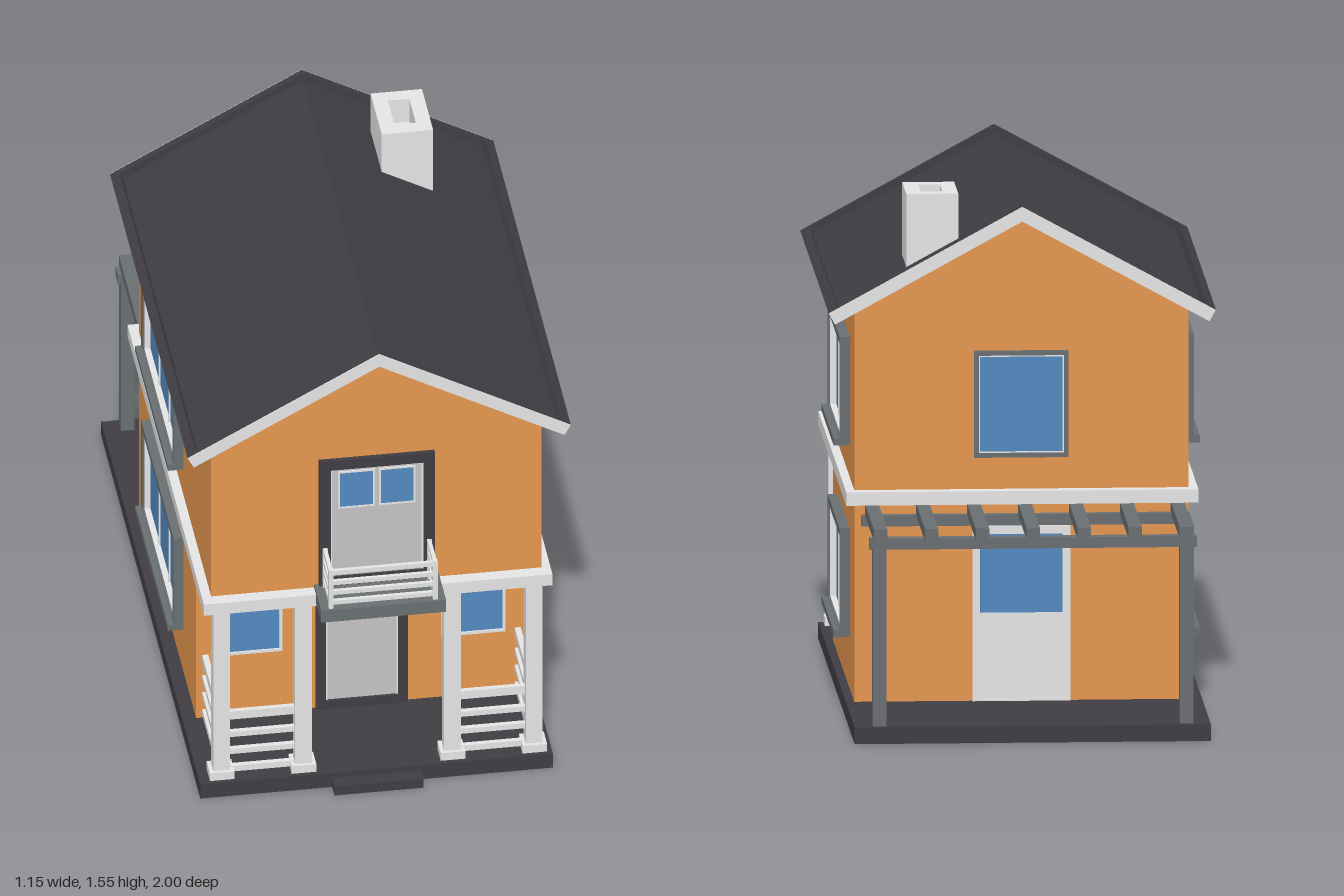
import * as THREE from 'three';

const mat = (name, color) => Object.assign(new THREE.MeshStandardMaterial({ color }), { name });

export function createModel() {
  const wall = mat('orange wall', 0xe4964f), trim = mat('light trim', 0xe4e4e4);
  const doorGrey = mat('door grey', 0xc5c2c3), dark = mat('charcoal', 0x3f3d43);
  const steel = mat('slate grey', 0x696e71), glass = mat('blue glass', 0x5289c0);

  const house = new THREE.Group();
  house.name = 'house';

  const add = (parent, name, geo, material) => {
    const m = new THREE.Mesh(geo, material);
    m.name = name;
    parent.add(m);
    return m;
  };
  // Box given by its limits on each axis
  const box = (parent, name, material, x0, x1, y0, y1, z0, z1) => {
    const m = add(parent, name, new THREE.BoxGeometry(x1 - x0, y1 - y0, z1 - z0), material);
    m.position.set((x0 + x1) / 2, (y0 + y1) / 2, (z0 + z1) / 2);
  };
  const extrude = (pts, z0, z1) => {
    const g = new THREE.ExtrudeGeometry(new THREE.Shape(pts.map(p => new THREE.Vector2(...p))),
      { depth: z1 - z0, bevelEnabled: false });
    return g.translate(0, 0, z0);
  };
  // Rectangular frame in the xy plane, with border b
  const frame = (parent, name, material, x0, x1, y0, y1, b, z0, z1) => {
    const rect = (P, d) => new P([[x0 + d, y0 + d], [x1 - d, y0 + d], [x1 - d, y1 - d], [x0 + d, y1 - d]]
      .map(p => new THREE.Vector2(...p)));
    const s = rect(THREE.Shape, 0);
    s.holes.push(rect(THREE.Path, b));
    const g = new THREE.ExtrudeGeometry(s, { depth: z1 - z0, bevelEnabled: false });
    return add(parent, name, g.translate(0, 0, z0), material);
  };
  const group = (name, x = 0, y = 0, z = 0, ry = 0) => {
    const g = new THREE.Group();
    g.name = name;
    g.position.set(x, y, z);
    g.rotation.y = ry;
    house.add(g);
    return g;
  };

  // Base, step and walls
  const W = 0.495, S = 0.548, PEAK = 1.54;
  box(house, 'base', dark, -0.536, 0.52, 0, 0.05, -1, 0.915);
  box(house, 'frontStep', dark, -0.141, 0.125, 0, 0.032, 0.915, 0.96);
  box(house, 'lowerWalls', wall, -W, W, 0.05, 0.647, -0.535, 0.57);
  box(house, 'floorBand', trim, -0.523, 0.521, 0.645, 0.685, -0.577, 0.9);
  const top = PEAK - 0.045;
  add(house, 'upperWalls', extrude([[-W, 0.685], [W, 0.685], [W, top - S * W], [0, top], [-W, top - S * W]],
    -0.535, 0.86), wall);

  // Roof: layers measured along the slope (x) and into it (d), mirrored left and right
  const k = 1 + S * S, HALF = 0.574, Z0 = -0.59, Z1 = 0.914;
  const at = (x, d) => [x - S * d / k, PEAK - S * x - d / k];
  const layer = (name, material, xi, xo, d0, d1, z0, z1) => {
    const inner = d => xi ? at(xi, d) : [0, PEAK - d];
    const pts = [inner(d0), at(xo, d0), at(xo, d1), inner(d1)];
    for (const s of [-1, 1]) add(house, name, extrude(pts.map(([x, y]) => [s * x, y]), z0, z1), material);
  };
  layer('roofSlab', trim, 0, HALF, 0.029, 0.045, Z0, Z1);
  layer('roofCover', dark, 0, HALF - 0.02, 0.024, 0.029, Z0 + 0.02, Z1 - 0.02);
  layer('gableRim', dark, 0, HALF - 0.003, 0, 0.029, Z1 - 0.026, Z1 - 0.003);
  layer('gableRim', dark, 0, HALF - 0.003, 0, 0.029, Z0 + 0.003, Z0 + 0.026);
  layer('eaveRim', dark, HALF - 0.026, HALF - 0.003, 0, 0.029, Z0 + 0.026, Z1 - 0.026);
  layer('gableFascia', trim, 0, HALF, 0.001, 0.029, Z1 - 0.003, Z1);
  layer('gableFascia', trim, 0, HALF, 0.001, 0.029, Z0, Z0 + 0.003);
  layer('eaveEdge', dark, HALF - 0.003, HALF, 0, 0.008, Z0 + 0.003, Z1 - 0.003);
  layer('eaveFascia', trim, HALF - 0.003, HALF, 0.008, 0.029, Z0 + 0.003, Z1 - 0.003);

  // Chimney with an open flue
  const chimney = group('chimney', 0.257, 0, -0.308);
  const flue = frame(chimney, 'chimneyStack', trim, -0.077, 0.077, -0.108, 0.108, 0.045, 0, 0.25);
  flue.rotation.x = -Math.PI / 2;
  flue.position.y = 1.302;
  box(chimney, 'flueFloor', trim, -0.04, 0.04, 1.44, 1.47, -0.07, 0.07);

  // Wide side windows on both storeys
  for (const s of [-1, 1]) for (const y of [0.205, 0.78]) {
    const w = group('sideWindow', s * W, y, 0.015, s * Math.PI / 2);
    frame(w, 'windowFrame', steel, -0.315, 0.315, 0, 0.326, 0.022, 0, 0.03);
    frame(w, 'innerFrame', trim, -0.294, 0.294, 0.021, 0.305, 0.004, 0, 0.024);
    box(w, 'windowGlass', glass, -0.29, 0.29, 0.025, 0.301, 0, 0.006);
    box(w, 'windowSill', steel, -0.315, 0.315, 0, 0.02, 0.03, 0.048);
    for (const x of [-0.098, 0.098]) box(w, 'windowBar', trim, x - 0.003, x + 0.003, 0.025, 0.301, 0.004, 0.011);
  }

  // Small porch windows
  for (const s of [-1, 1]) {
    const w = group('porchWindow', s * 0.334, 0.271, 0.57);
    frame(w, 'windowFrame', trim, -0.096, 0.096, 0, 0.305, 0.009, 0, 0.01);
    box(w, 'windowGlass', glass, -0.088, 0.088, 0.008, 0.297, 0, 0.005);
  }

  // Doors: a leaf inside an outer and an inner frame
  const door = (g, w, h, b) => {
    frame(g, 'doorFrame', dark, -w, w, 0, h, b, 0, 0.014);
    frame(g, 'doorInnerFrame', trim, -w + b, w - b, 0.004, h - b, 0.005, 0, 0.009);
    box(g, 'doorLeaf', doorGrey, -w + b, w - b, 0.004, h - b, 0, 0.006);
  };
  door(group('frontDoor', 0, 0.05, 0.57), 0.138, 0.535, 0.03);
  const upperDoor = group('balconyDoor', 0, 0.69, 0.86);
  door(upperDoor, 0.173, 0.452, 0.034);
  for (const s of [-1, 1]) {
    const c = s * 0.061;
    frame(upperDoor, 'doorPaneFrame', trim, c - 0.055, c + 0.055, 0.276, 0.408, 0.006, 0.006, 0.01);
    box(upperDoor, 'doorPane', glass, c - 0.049, c + 0.049, 0.282, 0.402, 0.005, 0.0085);
  }

  // Back door and the window above it
  const backDoor = group('backDoor', 0, 0.05, -0.535, Math.PI);
  frame(backDoor, 'doorFrame', trim, -0.145, 0.145, 0, 0.525, 0.008, 0, 0.01);
  box(backDoor, 'doorLeaf', trim, -0.138, 0.138, 0.004, 0.518, 0, 0.005);
  box(backDoor, 'doorPane', glass, -0.122, 0.122, 0.265, 0.5, 0.004, 0.008);
  const backWindow = group('backWindow', 0, 0.78, -0.535, Math.PI);
  frame(backWindow, 'windowFrame', steel, -0.14, 0.14, 0, 0.32, 0.014, 0, 0.01);
  frame(backWindow, 'innerFrame', trim, -0.126, 0.126, 0.014, 0.306, 0.004, 0, 0.007);
  box(backWindow, 'windowGlass', glass, -0.124, 0.124, 0.016, 0.304, 0, 0.005);

  // Porch columns and railings
  const porch = group('porch');
  for (const s of [-1, 1]) {
    for (const x of [0.223, 0.468]) {
      const c = s * x;
      box(porch, 'column', trim, c - 0.025, c + 0.025, 0.05, 0.647, 0.846, 0.89);
      box(porch, 'columnFoot', trim, c - 0.037, c + 0.037, 0.05, 0.077, 0.835, 0.901);
    }
    for (const [y, h] of [[0.07, 0.01], [0.132, 0.009], [0.193, 0.009], [0.261, 0.014]]) {
      box(porch, 'frontRail', trim, s * 0.345 - 0.1, s * 0.345 + 0.1, y - h, y + h, 0.86, 0.876);
      box(porch, 'sideRail', trim, s * 0.468 - 0.009, s * 0.468 + 0.009, y - h, y + h, 0.57, 0.85);
    }
  }

  // Balcony
  const balcony = group('balcony');
  box(balcony, 'balconyFloor', steel, -0.187, 0.187, 0.653, 0.695, 0.86, 1);
  for (const y of [0.715, 0.75, 0.785, 0.822]) {
    box(balcony, 'balconyFrontRail', trim, -0.162, 0.162, y - 0.007, y + 0.007, 0.98, 0.992);
    for (const s of [-1, 1])
      box(balcony, 'balconySideRail', trim, s * 0.156 - 0.006, s * 0.156 + 0.006, y - 0.007, y + 0.007, 0.86, 0.98);
  }
  for (const s of [-1, 1]) for (const z of [0.875, 0.985])
    box(balcony, 'balconyPost', trim, s * 0.156 - 0.007, s * 0.156 + 0.007, 0.695, 0.832, z - 0.008, z + 0.008);

  // Pergola at the back
  const pergola = group('pergola', -0.01);
  for (let i = -3; i <= 3; i++) {
    const x = i * 0.151;
    box(pergola, 'pergolaBeam', steel, x - 0.02, x + 0.02, 0.608, 0.643, -1, -0.535);
  }
  box(pergola, 'pergolaCrossBeam', steel, -0.485, 0.485, 0.58, 0.612, -0.985, -0.943);
  box(pergola, 'pergolaLedger', steel, -0.485, 0.485, 0.58, 0.612, -0.565, -0.535);
  for (const s of [-1, 1])
    box(pergola, 'pergolaPost', steel, s * 0.455 - 0.02, s * 0.455 + 0.02, 0.05, 0.6, -0.982, -0.943);

  return house;
}
